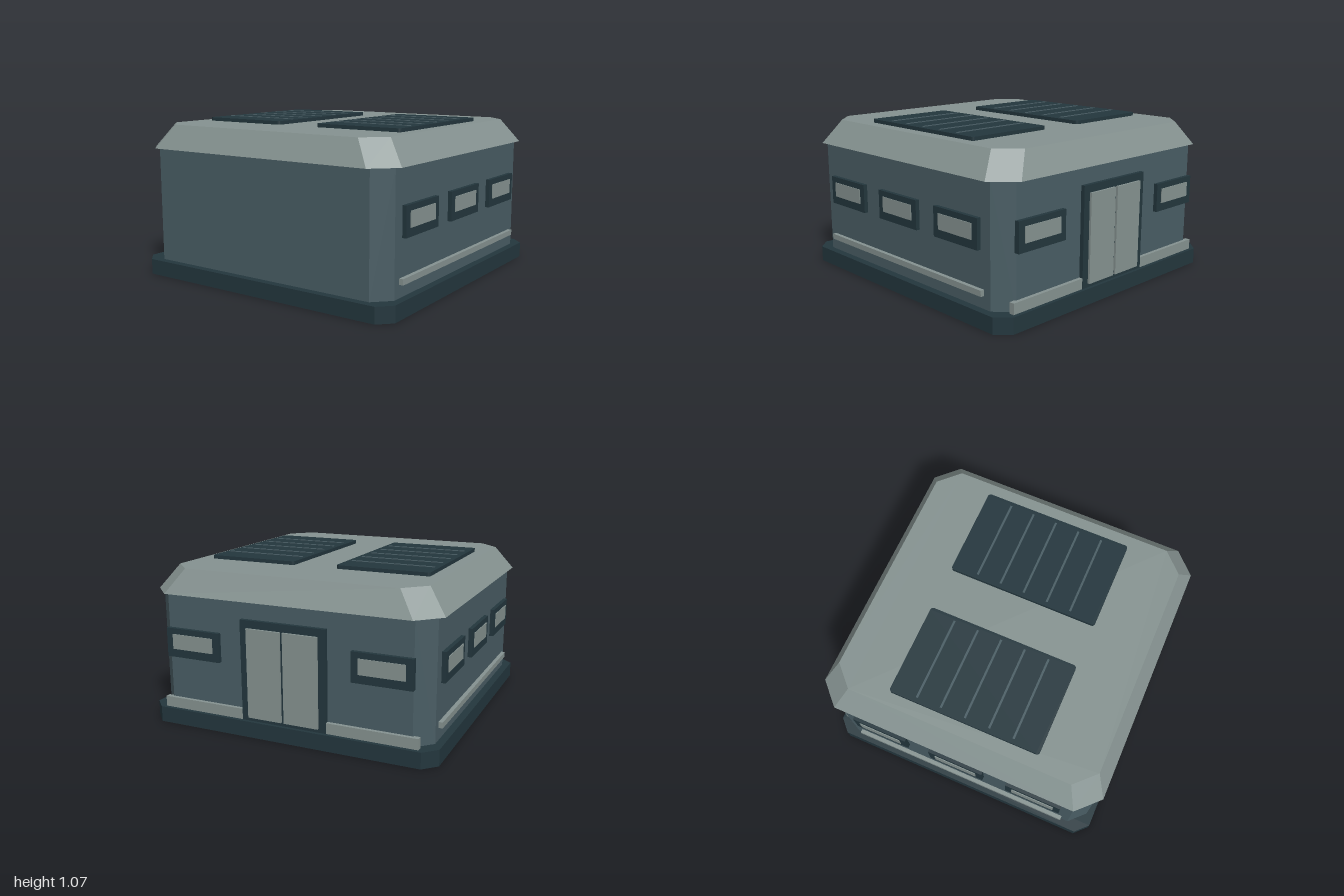
import * as THREE from 'three';
import { ConvexGeometry } from 'three/addons/geometries/ConvexGeometry.js';

const material = (name, color) => new THREE.MeshStandardMaterial({ name, color });

// Ring of eight points: a rectangle with its corners cut off
function octagon(hx, hz, cut, y) {
  const ring = [];
  for (const sx of [-1, 1]) for (const sz of [-1, 1]) {
    ring.push(new THREE.Vector3(sx * hx, y, sz * (hz - cut)));
    ring.push(new THREE.Vector3(sx * (hx - cut), y, sz * hz));
  }
  return ring;
}

// Flat-sided solid between two cut-corner rings
const chamferedBlock = (lower, upper) => new ConvexGeometry([...lower, ...upper]);

function roundedRect(w, h, r) {
  const s = new THREE.Shape();
  const x = w / 2, y = h / 2;
  s.absarc(x - r, y - r, r, 0, Math.PI / 2);
  s.absarc(-x + r, y - r, r, Math.PI / 2, Math.PI);
  s.absarc(-x + r, -y + r, r, Math.PI, Math.PI * 1.5);
  s.absarc(x - r, -y + r, r, Math.PI * 1.5, Math.PI * 2);
  s.closePath();
  return s;
}

export function createModel() {
  const wall = material('slate wall', 0x495d64);
  const dark = material('dark trim', 0x23363d);
  const light = material('pale grey', 0x859290);

  const model = new THREE.Group();
  model.name = 'building';

  function add(parent, name, geometry, mat, x = 0, y = 0, z = 0) {
    const mesh = new THREE.Mesh(geometry, mat);
    mesh.name = name;
    mesh.position.set(x, y, z);
    parent.add(mesh);
    return mesh;
  }

  // Box given by its min and max corners
  function box(parent, name, mat, x0, x1, y0, y1, z0, z1) {
    return add(parent, name, new THREE.BoxGeometry(x1 - x0, y1 - y0, z1 - z0), mat,
      (x0 + x1) / 2, (y0 + y1) / 2, (z0 + z1) / 2);
  }

  // Main body
  add(model, 'base', chamferedBlock(octagon(1, 1, 0.085, 0), octagon(1, 1, 0.085, 0.105)), dark);
  add(model, 'walls', chamferedBlock(octagon(0.95, 0.95, 0.105, 0.1), octagon(0.95, 0.95, 0.105, 0.89)), wall);
  add(model, 'roof', chamferedBlock(octagon(0.99, 0.99, 0.145, 0.88), octagon(0.87, 0.905, 0.135, 1.04)), light);

  // Roof panels with thin cross ribs
  for (const side of [-1, 1]) {
    const panel = new THREE.Group();
    panel.name = side > 0 ? 'leftRoofPanel' : 'rightRoofPanel';
    panel.position.set(side * 0.468, 1.04, 0);
    model.add(panel);
    const slab = new THREE.ExtrudeGeometry(roundedRect(0.63, 1.035, 0.02),
      { depth: 0.024, bevelEnabled: false, curveSegments: 3 });
    slab.rotateX(-Math.PI / 2);
    add(panel, 'panelSlab', slab, dark);
    for (let i = -2; i <= 2; i++) {
      const z = i * 0.167;
      box(panel, 'panelRib', wall, -0.285, 0.285, 0.02, 0.028, z - 0.007, z + 0.007);
    }
  }

  // Each facade group faces local +z and is turned to its side
  function facade(name, turn) {
    const group = new THREE.Group();
    group.name = name;
    group.rotation.y = turn;
    model.add(group);
    return group;
  }

  function addWindow(parent, x) {
    const win = new THREE.Group();
    win.name = 'window';
    win.position.set(x, 0, 0);
    parent.add(win);
    box(win, 'windowFrame', dark, -0.197, 0.197, 0.46, 0.653, 0.94, 0.977);
    box(win, 'windowPane', light, -0.15, 0.15, 0.515, 0.615, 0.975, 0.982);
  }

  for (const side of [-1, 1]) {
    const group = facade(side > 0 ? 'leftSide' : 'rightSide', side * Math.PI / 2);
    for (const x of [-0.567, 0, 0.567]) addWindow(group, x);
    box(group, 'sideRail', light, -0.792, 0.792, 0.187, 0.225, 0.94, 0.977);
  }

  // Back facade: double door, windows and low rails
  const back = facade('backSide', Math.PI);
  box(back, 'doorFrame', dark, -0.295, 0.295, 0.1, 0.765, 0.94, 0.977);
  for (const side of [-1, 1]) {
    addWindow(back, side * 0.655);
    const [d0, d1] = side > 0 ? [0.01, 0.245] : [-0.245, -0.01];
    box(back, 'doorLeaf', light, d0, d1, 0.13, 0.715, 0.97, 0.992);
    const [r0, r1] = side > 0 ? [0.295, 0.89] : [-0.89, -0.295];
    box(back, 'backRail', light, r0, r1, 0.105, 0.175, 0.94, 0.975);
  }

  return model;
}
